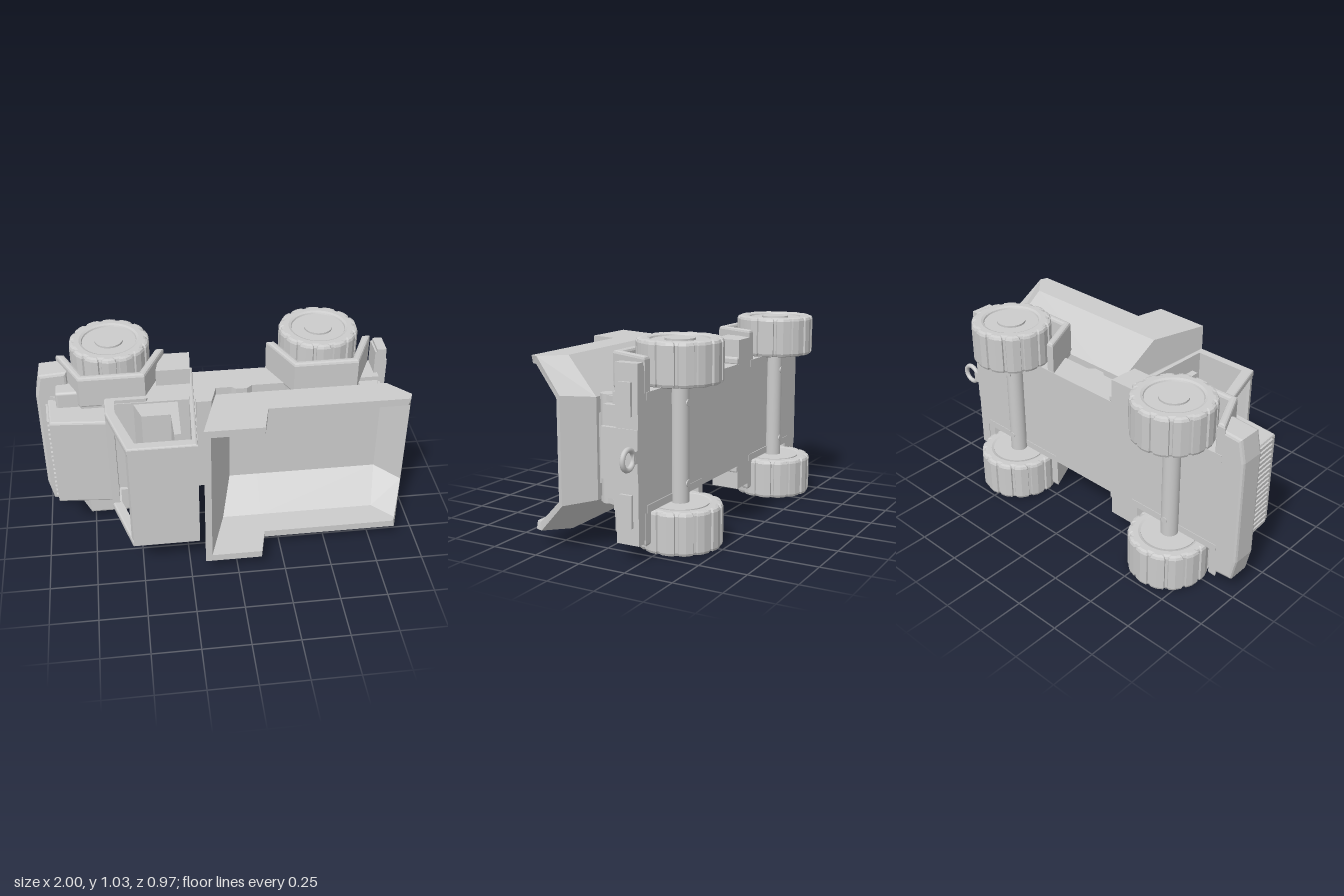
import * as THREE from 'three';
import { RoundedBoxGeometry } from 'three/addons/geometries/RoundedBoxGeometry.js';

// The truck lies on its side: length along x, width along y, its roof towards +z.
const C = 0.515; // middle of the width
const WHEELS = [-0.6, 0.52], AXLE_Z = -0.275;
const mat = new THREE.MeshStandardMaterial({ color: 0xcccccc });
const thin = new THREE.MeshStandardMaterial({ color: 0xcccccc, side: THREE.DoubleSide });

export function createModel() {
  const truck = new THREE.Group();
  truck.name = 'toyDumpTruck';

  const add = (name, geometry, material = mat) => {
    const mesh = new THREE.Mesh(geometry, material);
    mesh.name = name;
    truck.add(mesh);
    return mesh;
  };
  const toShape = (pts) => new THREE.Shape(pts.map(([a, b]) => new THREE.Vector2(a, b)));
  const box = (name, x0, x1, y0, y1, z0, z1, r = 0) => {
    const size = [x1 - x0, y1 - y0, z1 - z0];
    const g = r ? new RoundedBoxGeometry(...size, 2, r) : new THREE.BoxGeometry(...size);
    add(name, g.translate((x0 + x1) / 2, (y0 + y1) / 2, (z0 + z1) / 2));
  };
  // side profile of [x, z] points, extruded across the width
  const prism = (name, shape, ya, yb, bevel = 0) => {
    const y0 = Math.min(ya, yb), y1 = Math.max(ya, yb);
    const g = new THREE.ExtrudeGeometry(shape, {
      depth: y1 - y0 - 2 * bevel, bevelEnabled: bevel > 0, bevelSize: bevel,
      bevelThickness: bevel, bevelOffset: -bevel, bevelSegments: 2, curveSegments: 32,
    });
    g.rotateX(Math.PI / 2).translate(0, y1 - bevel, 0);
    return add(name, g);
  };
  const drum = (name, r, x, y0, y1, z, sides = 32) =>
    add(name, new THREE.CylinderGeometry(r, r, y1 - y0, sides).translate(x, (y0 + y1) / 2, z));

  // chassis
  prism('chassis', toShape([[-0.93, -0.25], [-0.93, -0.11], [-0.64, 0.0], [-0.17, 0.0], [-0.17, 0.03],
    [-0.09, 0.03], [-0.055, -0.085], [0.03, -0.085], [0.05, -0.065], [0.11, -0.065], [0.14, -0.09],
    [0.83, -0.09], [0.83, -0.25]]), C - 0.285, C + 0.285);
  box('rearCrossPlate', 0.8, 0.85, C - 0.225, C + 0.225, -0.14, -0.05);

  // front bumper, tapered in plan
  const bumper = new THREE.ExtrudeGeometry(toShape([[-1, 0.22], [-0.975, 0.1], [-0.83, 0.09], [-0.83, 0.94],
    [-0.975, 0.93], [-1, 0.81]]), { depth: 0.11, bevelThickness: 0.015, bevelSize: 0.015, bevelOffset: -0.015, bevelSegments: 2 });
  add('frontBumper', bumper.translate(0, 0, -0.235));

  // hood, grille and lamps
  prism('hood', toShape([[-0.945, -0.12], [-0.93, 0.1], [-0.63, 0.125], [-0.63, -0.12]]), 0.25, 0.78, 0.012);
  for (let i = 0; i < 18; i++) {
    const y = 0.27 + i * 0.0288;
    prism('grilleBar', toShape([[-0.953, -0.09], [-0.943, 0.07], [-0.92, 0.07], [-0.92, -0.09]]), y - 0.008, y + 0.008);
  }
  for (const s of [-1, 1]) {
    const y = [C + s * 0.25, C + s * 0.355].sort((a, b) => a - b);
    box('headlampBlock', -0.895, -0.75, ...y, -0.13, -0.03, 0.015);
  }

  // cab
  box('cabSill', -0.645, -0.605, 0.2, 0.83, -0.05, 0.125);
  prism('cabRoof', toShape([[-0.555, 0.41], [-0.545, 0.44], [-0.2, 0.44], [-0.198, 0.405], [-0.54, 0.405]]), 0.2, 0.83);
  prism('cabBackWall', toShape([[-0.2, 0.44], [-0.168, -0.1], [-0.2, -0.1], [-0.222, 0.44]]), 0.2, 0.83);
  prism('seat', toShape([[-0.5, -0.01], [-0.46, 0.11], [-0.31, 0.11], [-0.305, 0.28], [-0.27, 0.28], [-0.265, -0.01]]), 0.24, 0.79);

  for (const s of [-1, 1]) {
    const Y = (d) => C + s * d;
    const side = toShape([[-0.645, -0.02], [-0.645, 0.12], [-0.55, 0.44], [-0.2, 0.44], [-0.167, -0.25],
      [-0.33, -0.25], [-0.44, -0.02]]);
    side.holes.push(toShape([[-0.605, 0.01], [-0.605, 0.12], [-0.515, 0.4], [-0.215, 0.4], [-0.195, 0.01]]));
    prism('cabSide', side, Y(0.28), Y(0.322), 0.01);
    prism('sideStep', toShape([[-0.34, -0.25], [-0.37, -0.09], [-0.19, -0.09], [-0.18, -0.25]]), Y(0.27), Y(0.415));

    // fenders: trapezoid arches with an open wheel well
    for (const x of WHEELS) {
      const arch = [[-0.285, -0.25], [-0.17, -0.005], [0.17, -0.005], [0.285, -0.25],
        [0.24, -0.25], [0.145, -0.045], [-0.145, -0.045], [-0.24, -0.25]];
      prism('fender', toShape(arch.map(([a, z]) => [a + x, z])), Y(0.27), Y(0.453), 0.014);
      prism('wheelWellWall', toShape(arch.slice(0, 4).map(([a, z]) => [a * 0.97 + x, z - 0.003])), Y(0.25), Y(0.288));
    }

    // wheels: treaded tyre with recessed disc and cap
    for (const x of WHEELS) {
      const pts = [], n = 14;
      for (let i = 0; i < n; i++) {
        for (const [f, r] of [[0, 0.2], [0.14, 0.2], [0.18, 0.21], [0.59, 0.213], [0.96, 0.21]]) {
          const a = ((i + f) / n) * Math.PI * 2;
          pts.push([x + r * Math.cos(a), AXLE_Z + r * Math.sin(a)]);
        }
      }
      const tyre = toShape(pts);
      tyre.holes.push(new THREE.Path().absarc(x, AXLE_Z, 0.14, 0, Math.PI * 2, true));
      prism('tyre', tyre, Y(0.297), Y(0.515), 0.018);
      const span = (a, b) => [Math.min(Y(a), Y(b)), Math.max(Y(a), Y(b))];
      drum('wheelDisc', 0.145, x, ...span(0.297, 0.502), AXLE_Z, 40);
      drum('wheelCap', 0.075, x, ...span(0.45, 0.512), AXLE_Z);
      const screw = new THREE.CylinderGeometry(0.018, 0.018, 0.02, 12).rotateX(Math.PI / 2);
      add('axleScrew', screw.translate(x, Y(0.2), -0.313));
    }

    // tail lamps and bed hinge brackets
    const pair = (a, b) => [Y(a), Y(b)].sort((p, q) => p - q);
    box('tailLamp', 0.86, 0.885, ...pair(0.185, 0.345), -0.22, -0.155);
    box('bumperEnd', 0.82, 0.87, ...pair(0.125, 0.43), -0.25, -0.13);
    prism('hingeBracket', toShape([[0.71, -0.1], [0.74, 0.0], [0.8, 0.0], [0.83, -0.1]]), Y(0.235), Y(0.262));
  }

  // axles
  for (const x of WHEELS) drum('axle', 0.045, x, 0.2, 0.83, AXLE_Z);

  // rear bumper centre and tow ring
  box('rearBumperCentre', 0.81, 0.875, C - 0.125, C + 0.125, -0.25, -0.05);
  box('rearBumperBeam', 0.81, 0.855, 0.1, 0.93, -0.25, -0.13);
  box('towArm', 0.86, 0.905, C - 0.03, C + 0.03, -0.25, -0.225);
  add('towRing', new THREE.TorusGeometry(0.047, 0.013, 10, 32).translate(0.94, C, -0.238));

  // dump bed supports
  drum('bedHinge', 0.04, 0.775, 0.25, 0.78, -0.035);
  prism('bedSubframe', toShape([[-0.02, -0.055], [-0.035, 0.01], [0.82, 0.01], [0.76, -0.055]]), C - 0.17, C + 0.17);
  add('dumpBed', bedGeometry(), thin);
  return truck;
}

// Hopper lofted from stations of rim, knee and floor corners, each [x, z, half width].
function bedGeometry() {
  const outer = [
    [[-0.175, 0.48, 0.43], [-0.085, 0.18, 0.43], [-0.03, 0.0, 0.25]],
    [[0.125, 0.48, 0.43], [0.125, 0.18, 0.43], [0.125, 0.0, 0.25]],
    [[0.16, 0.33, 0.43], [0.16, 0.18, 0.43], [0.16, 0.0, 0.25]],
    [[0.8, 0.33, 0.43], [0.79, 0.18, 0.43], [0.83, 0.0, 0.25]],
    [[0.88, 0.33, 0.43], [0.895, 0.29, 0.43], [0.955, 0.12, 0.265]],
  ];
  const inner = outer.map((st, i) => st.map(([x, z, w], k) => [
    x + (i === 0 ? 0.035 : i === 4 ? -0.01 : i === 3 && k ? -0.01 : 0),
    z + [0, 0.01, 0.025][k], w - [0.04, 0.04, 0.015][k],
  ]));
  // six points from one rim across the floor to the other rim
  const row = (st) => [...st.map(([x, z, w]) => [x, C - w, z]), ...[...st].reverse().map(([x, z, w]) => [x, C + w, z])];
  const O = outer.map(row), I = inner.map(row), pos = [];
  const quad = (a, b, c, d) => pos.push(...a, ...b, ...c, ...a, ...c, ...d);
  for (let i = 0; i < 4; i++) {
    for (let k = 0; k < 5; k++) {
      quad(O[i][k], O[i][k + 1], O[i + 1][k + 1], O[i + 1][k]);
      quad(I[i][k], I[i + 1][k], I[i + 1][k + 1], I[i][k + 1]);
    }
    for (const k of [0, 5]) quad(O[i][k], O[i + 1][k], I[i + 1][k], I[i][k]);
  }
  // tail lip, front wall faces and front rim
  for (let k = 0; k < 5; k++) quad(O[4][k], O[4][k + 1], I[4][k + 1], I[4][k]);
  for (const k of [0, 1]) {
    quad(O[0][k], O[0][5 - k], O[0][4 - k], O[0][k + 1]);
    quad(I[0][k], I[0][k + 1], I[0][4 - k], I[0][5 - k]);
  }
  quad(O[0][0], I[0][0], I[0][5], O[0][5]);
  const g = new THREE.BufferGeometry();
  g.setAttribute('position', new THREE.Float32BufferAttribute(pos, 3));
  g.computeVertexNormals();
  return g;
}
